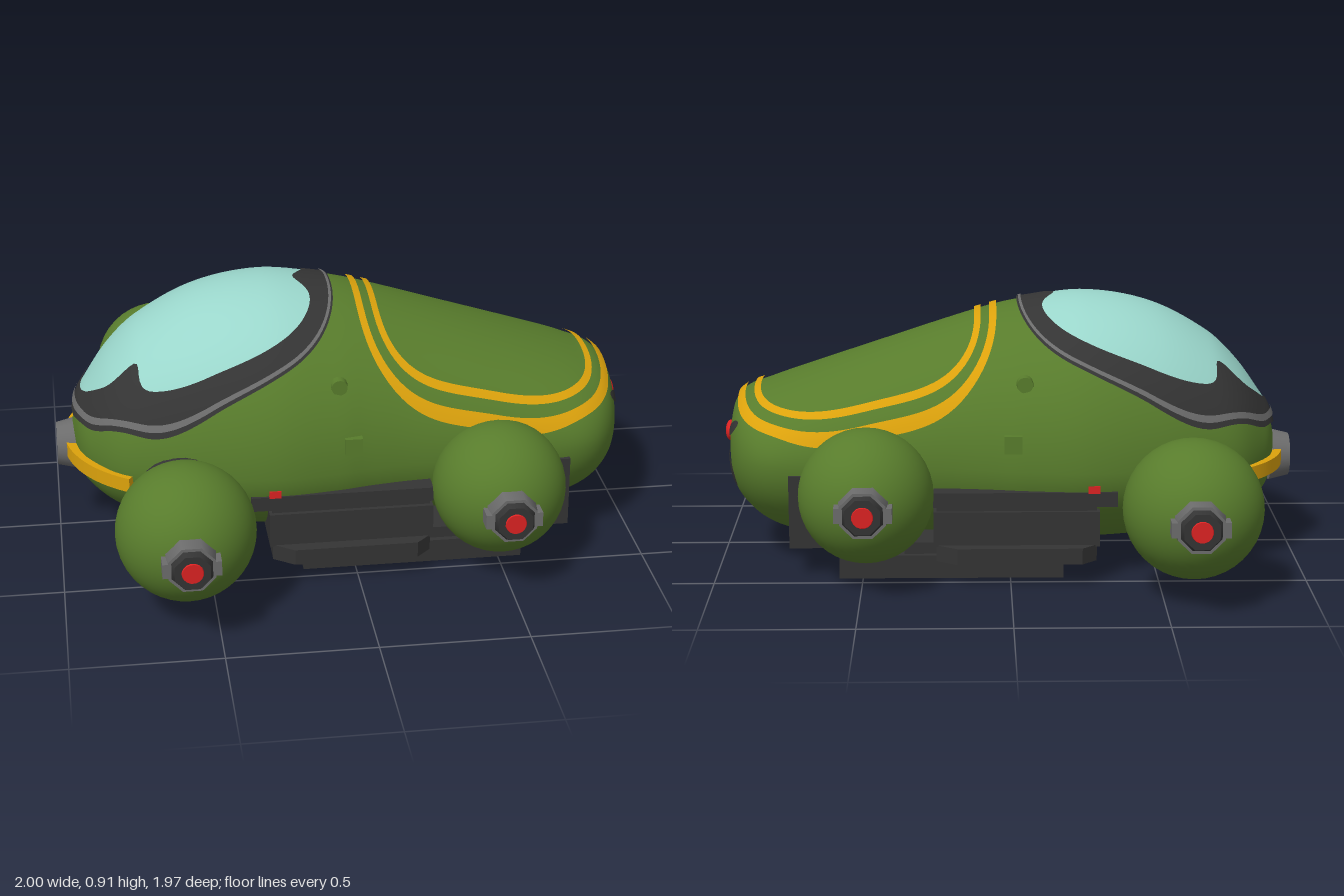
import * as THREE from 'three';
import { mergeVertices } from 'three/addons/utils/BufferGeometryUtils.js';

const mat = (name, color) => Object.assign(new THREE.MeshStandardMaterial({ color }), { name });

// Hull stations along x: [x, half width, roof y, belly y]
const MID = 0.38;
const ROWS = [
  [-0.945, 0, 0.385, 0.375], [-0.92, 0.14, 0.49, 0.25], [-0.88, 0.23, 0.56, 0.19],
  [-0.8, 0.335, 0.67, 0.135], [-0.7, 0.395, 0.765, 0.1], [-0.5, 0.465, 0.87, 0.07],
  [-0.27, 0.505, 0.91, 0.055], [-0.05, 0.485, 0.885, 0.055], [0.05, 0.465, 0.865, 0.055],
  [0.2, 0.445, 0.82, 0.055], [0.5, 0.43, 0.72, 0.06], [0.75, 0.41, 0.635, 0.08],
  [0.85, 0.375, 0.6, 0.12], [0.92, 0.3, 0.575, 0.18], [0.96, 0.2, 0.53, 0.24],
  [0.975, 0.1, 0.46, 0.31], [0.982, 0, 0.385, 0.375],
];
const X0 = ROWS[0][0], X1 = ROWS[ROWS.length - 1][0];

// Smooth interpolation of one column of the stations
function station(x, k) {
  const n = ROWS.length;
  x = THREE.MathUtils.clamp(x, X0, X1);
  let i = 0;
  while (i < n - 2 && x > ROWS[i + 1][0]) i++;
  const slope = (j) => {
    const a = ROWS[Math.max(j - 1, 0)], b = ROWS[Math.min(j + 1, n - 1)];
    return (b[k] - a[k]) / (b[0] - a[0]);
  };
  const h = ROWS[i + 1][0] - ROWS[i][0], t = (x - ROWS[i][0]) / h, t2 = t * t, t3 = t2 * t;
  return (2 * t3 - 3 * t2 + 1) * ROWS[i][k] + (t3 - 2 * t2 + t) * h * slope(i)
    + (3 * t2 - 2 * t3) * ROWS[i + 1][k] + (t3 - t2) * h * slope(i + 1);
}
const sideZ = (x, y) => {
  const r = y > MID ? station(x, 2) - MID : MID - station(x, 3);
  return station(x, 1) * Math.sqrt(Math.max(0, 1 - ((y - MID) / Math.max(r, 1e-4)) ** 2));
};
const roofY = (x, z) => MID + (station(x, 2) - MID)
  * Math.sqrt(Math.max(0, 1 - (z / Math.max(station(x, 1), 1e-4)) ** 2));

// Grid surface whose normal is du x dv
function grid(nu, nv, fn) {
  const pos = [], idx = [];
  for (let i = 0; i <= nu; i++) for (let j = 0; j <= nv; j++) pos.push(...fn(i / nu, j / nv));
  for (let i = 0; i < nu; i++) for (let j = 0; j < nv; j++) {
    const a = i * (nv + 1) + j, b = a + nv + 1;
    idx.push(a, b, a + 1, b, b + 1, a + 1);
  }
  let g = new THREE.BufferGeometry();
  g.setAttribute('position', new THREE.Float32BufferAttribute(pos, 3));
  g.setIndex(idx);
  g = mergeVertices(g, 1e-5);
  g.computeVertexNormals();
  return g;
}

// Thin patch on the hull roof between two fractions of an outline, lifted off the surface
const outline = (a, b, nPos, nNeg) => (p) => {
  const n = Math.cos(p) > 0 ? nPos : nNeg;
  return ((Math.abs(Math.cos(p)) / a) ** n + (Math.abs(Math.sin(p)) / b) ** n) ** (-1 / n);
};
function roofPatch(cx, shape, s0, s1, lift, steps) {
  return grid(144, steps, (u, v) => {
    const p = u * Math.PI * 2, r = shape(p) * THREE.MathUtils.lerp(s0(p), s1(p), v);
    const x = cx + r * Math.cos(p), z = r * Math.sin(p), e = 0.002;
    const n = new THREE.Vector3(roofY(x - e, z) - roofY(x + e, z), 2 * e,
      roofY(x, z - e) - roofY(x, z + e)).normalize().multiplyScalar(lift);
    return [x + n.x, roofY(x, z) + n.y, z + n.z];
  });
}

// Small elliptical patch on the tail
function tailPatch(cz, cy, rz, ry, tilt, lift) {
  return grid(24, 4, (u, v) => {
    const p = u * Math.PI * 2, a = rz * v * Math.cos(p), b = ry * v * Math.sin(p);
    const z = cz + a * Math.cos(tilt) - b * Math.sin(tilt);
    const y = cy + a * Math.sin(tilt) + b * Math.cos(tilt);
    let lo = 0.5, hi = X1;
    for (let i = 0; i < 24; i++) {
      const m = (lo + hi) / 2;
      if (sideZ(m, y) > Math.abs(z)) lo = m; else hi = m;
    }
    return [lo + lift, y, z];
  });
}

export function createModel() {
  const root = new THREE.Group();
  const green = mat('hullGreen', 0x587c2c), dark = mat('charcoal', 0x343434);
  const grey = mat('metalGrey', 0x6c6c6c), yellow = mat('trimYellow', 0xdca20c);
  const glass = mat('paleGlass', 0x9ad6cb), red = mat('lampRed', 0xdc2222);
  const add = (name, geo, m, x = 0, y = 0, z = 0, parent = root) => {
    const mesh = new THREE.Mesh(geo, m);
    mesh.name = name;
    mesh.position.set(x, y, z);
    parent.add(mesh);
    return mesh;
  };
  const box = (w, h, d) => new THREE.BoxGeometry(w, h, d);
  const drum = (r0, r1, len, sides, s = 1) =>
    new THREE.CylinderGeometry(r1, r0, len, sides).rotateY(Math.PI / sides).rotateX(s * Math.PI / 2);
  const one = () => 1, at = (k) => () => k;

  // Hull
  add('hull', grid(110, 72, (u, v) => {
    const x = (X0 + X1) / 2 - Math.cos(u * Math.PI) * (X1 - X0) / 2, t = v * Math.PI * 2;
    const s = Math.sin(t), r = s > 0 ? station(x, 2) - MID : MID - station(x, 3);
    return [x, MID + r * s, station(x, 1) * Math.cos(t)];
  }), green);

  // Canopy: glass, dark frame with uneven inner edge, grey seal
  const canopy = outline(0.45, 0.425, 2.7, 2.05), cx = -0.48;
  const bump = (p, c, w) => Math.exp(-(((p - c) / w) ** 2));
  const frameEdge = (p) => {
    const q = p > Math.PI ? Math.PI * 2 - p : p;
    return 0.84 - 0.14 * bump(q, 2.42, 0.14) + 0.09 * bump(q, Math.PI, 0.35) - 0.13 * bump(q, 0, 0.22);
  };
  add('canopyGlass', roofPatch(cx, canopy, at(0), at(0.98), 0.005, 32), glass);
  add('canopyFrame', roofPatch(cx, canopy, frameEdge, one, 0.01, 8), dark);
  add('canopySeal', roofPatch(cx, canopy, at(0.965), at(0.985), 0.014, 2), grey);

  // Rear deck trim lines
  const deck = outline(0.45, 0.415, 3, 4.5);
  add('deckOuterTrim', roofPatch(0.49, deck, at(0.945), one, 0.009, 3), yellow);
  add('deckInnerTrim', roofPatch(0.49, deck, at(0.83), at(0.88), 0.009, 3), yellow);

  // Nose bumper band and boss
  const band = new THREE.Shape();
  band.absarc(0, 0, 0.467, Math.PI - 0.98, Math.PI + 0.98, false);
  band.absarc(0, 0, 0.425, Math.PI + 0.98, Math.PI - 0.98, true);
  add('noseBand', new THREE.ExtrudeGeometry(band, { depth: 0.05, bevelEnabled: false, curveSegments: 32 })
    .rotateX(-Math.PI / 2), yellow, -0.503, 0.31, 0);
  add('noseBoss', new THREE.CylinderGeometry(0.075, 0.092, 0.07, 20).rotateZ(Math.PI / 2), grey, -0.962, 0.325, 0);

  // Tail lamp and dark vents
  add('tailLamp', new THREE.SphereGeometry(1, 20, 12).scale(0.018, 0.036, 0.052), red, 0.982, 0.42, 0);
  for (const s of [1, -1]) {
    add('upperVent', tailPatch(s * 0.185, 0.47, 0.05, 0.022, s * 0.5, 0.006), dark);
    add('lowerVent', tailPatch(s * 0.19, 0.33, 0.032, 0.065, s * 0.5, 0.006), dark);
  }

  // Flat belly plate
  add('bellyPlate', box(0.76, 0.08, 0.9), dark, 0.2, 0.045, 0);
  add('bellyRail', box(0.56, 0.05, 0.86), dark, 0.08, 0.1, 0);

  // Trapezoid sill seen from above
  const sill = new THREE.Shape([[-0.29, 0.3], [0.25, 0.3], [0.25, 0.5], [0.2, 0.55], [-0.22, 0.55], [-0.29, 0.5]]
    .map(([x, z]) => new THREE.Vector2(x, z)));
  for (const s of [1, -1]) {
    const sillGeo = new THREE.ExtrudeGeometry(sill, { depth: 0.055, bevelEnabled: false }).rotateX(Math.PI / 2);
    if (s < 0) sillGeo.rotateY(Math.PI).translate(-0.04, 0, 0);
    add('sill', sillGeo, dark, 0, 0.135, 0);
    add('sidePod', box(0.56, 0.12, 0.2), dark, -0.02, 0.19, s * 0.405);
    add('upperRail', box(0.62, 0.05, 0.2), dark, -0.05, 0.29, s * 0.4);
    add('middleRail', box(0.54, 0.02, 0.2), dark, -0.02, 0.255, s * 0.39);
    add('sideLamp', box(0.04, 0.025, 0.02), red, -0.28, 0.325, s * 0.495);
    add('rearStrut', box(0.16, 0.25, 0.16), dark, 0.67, 0.23, s * 0.345);

    // Side hatch details
    add('fillerCap', drum(0.03, 0.027, 0.03, 16, s), green, -0.05, 0.665, s * sideZ(-0.05, 0.665));
    add('sideLatch', box(0.06, 0.06, 0.03), green, -0.01, 0.475, s * sideZ(-0.01, 0.475));

    // Ball wheels: [name, x, centre z, radius, inner cut z, axle radius]
    for (const [name, x, z, r, cut, axle] of [
      ['front', -0.595, 0.685, 0.232, 0.53, 0.135], ['rear', 0.485, 0.5, 0.227, 0.45, 0.19]]) {
      const wheel = new THREE.Group();
      wheel.name = name + 'Wheel';
      wheel.position.set(x, 0.31, 0);
      root.add(wheel);
      const part = (n, g, m, pz, px = 0) => add(n, g, m, px, 0, s * pz, wheel);
      const cutR = Math.sqrt(r * r - (z - cut) ** 2);
      part('ball', new THREE.SphereGeometry(r, 40, 24, 0, Math.PI * 2, 0, Math.acos((cut - z) / r))
        .rotateX(s * Math.PI / 2), green, z);
      part('innerDisc', drum(cutR - 0.005, cutR, 0.02, 32, s), dark, cut + 0.005);
      part('axle', drum(axle, axle, cut - 0.25, 24, s), dark, (cut + 0.25) / 2);
      if (name === 'front') part('axleCollar', drum(0.15, 0.15, 0.04, 24, s), dark, 0.47);
      const tip = z + r;
      part('hub', drum(0.09, 0.082, 0.08, 8, s), grey, tip);
      part('hubTabs', box(0.19, 0.05, 0.06), grey, tip + 0.01);
      part('hubNose', drum(0.075, 0.062, 0.03, 8, s), dark, tip + 0.047);
      part('hubLamp', drum(0.038, 0.034, 0.01, 16, s), red, tip + 0.062);
    }
  }
  return root;
}
